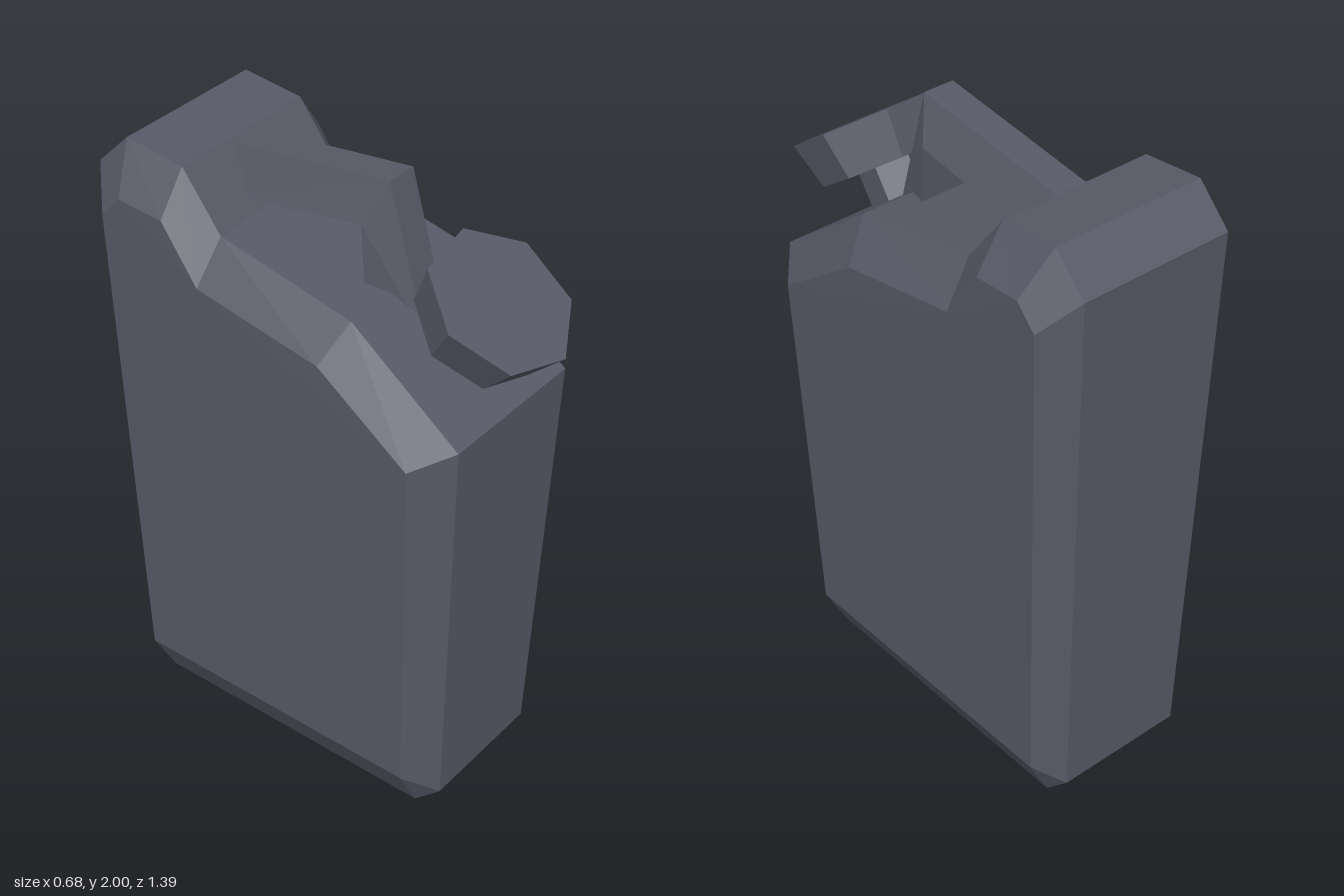
import * as THREE from 'three';

const plastic = new THREE.MeshStandardMaterial({ color: 0x575a67 });
plastic.name = 'dark grey plastic';

// Triangle soup with flat facets
function facets(name, tris) {
  const g = new THREE.BufferGeometry().setFromPoints(tris);
  g.computeVertexNormals();
  const m = new THREE.Mesh(g, plastic);
  m.name = name;
  return m;
}

// Joins closed rings of equal point count, dropping collapsed triangles
function loft(rings) {
  const out = [];
  const tri = (a, b, c) => {
    if (!a.equals(b) && !b.equals(c) && !a.equals(c)) out.push(a, b, c);
  };
  for (let k = 0; k + 1 < rings.length; k++) {
    const a = rings[k], b = rings[k + 1];
    a.forEach((p, i) => {
      const j = (i + 1) % a.length;
      tri(p, b[i], b[j]);
      tri(p, b[j], a[j]);
    });
  }
  return out;
}

function prism(name, rTop, rBottom, height, sides, start) {
  const g = new THREE.CylinderGeometry(rTop, rBottom, height, sides, 1, false, start).toNonIndexed();
  g.computeVertexNormals();
  const m = new THREE.Mesh(g, plastic);
  m.name = name;
  return m;
}

function makeBody() {
  // Side profiles as [z, y]: the rim of the middle strip and the chamfered side panel
  const strip = [[0.42, 0], [0.51, 0.09], [0.56, 1.41], [0.2, 1.68], [-0.25, 1.77],
    [-0.38, 1.94], [-0.58, 1.96], [-0.69, 1.85], [-0.645, 0.09], [-0.56, 0]];
  const panel = [[0.42, 0.15], [0.42, 0.15], [0.455, 1.35], [0.155, 1.565], [-0.265, 1.64],
    [-0.385, 1.81], [-0.54, 1.82], [-0.607, 1.75], [-0.57, 0.15], [-0.57, 0.15]];
  // The can widens upwards to the shoulder
  const grow = y => Math.min(1, Math.max(0, (y - 0.12) / 1.23));
  const ring = (pts, side, base, extra) =>
    pts.map(([z, y]) => new THREE.Vector3(side * (base + extra * grow(y)), y, z));
  const rings = [ring(panel, -1, 0.29, 0.05), ring(strip, -1, 0.213, 0.037),
    ring(strip, 1, 0.213, 0.037), ring(panel, 1, 0.29, 0.05)];
  const tris = loft(rings);

  // Side panels
  const ids = [8, 7, 6, 5, 4, 3, 2, 1];
  const contour = ids.map(i => new THREE.Vector2(-panel[i][0], panel[i][1]));
  for (const [a, b, c] of THREE.ShapeUtils.triangulateShape(contour, [])) {
    tris.push(rings[3][ids[a]], rings[3][ids[b]], rings[3][ids[c]]);
    tris.push(rings[0][ids[a]], rings[0][ids[c]], rings[0][ids[b]]);
  }
  return facets('body', tris);
}

function makeHandle() {
  // Outer and inner edge as [z, y]; narrow outside, wide inside
  const path = [
    [[0.29, 1.57], [0.127, 1.66]],
    [[0.17, 2.0], [0.115, 1.872]],
    [[-0.4, 1.925], [-0.31, 1.8]],
  ];
  const rings = path.map(([[zo, yo], [zi, yi]]) => [
    new THREE.Vector3(0.053, yo, zo), new THREE.Vector3(-0.047, yo, zo),
    new THREE.Vector3(-0.099, yi, zi), new THREE.Vector3(0.106, yi, zi),
  ]);
  return facets('handle', loft(rings));
}

function makeSpout() {
  const spout = new THREE.Group();
  spout.name = 'spout';
  const cap = prism('cap', 0.225, 0.19, 0.14, 7, 0.17);
  cap.position.y = -0.07;
  const neck = prism('neck', 0.088, 0.088, 0.18, 5, -0.35);
  neck.position.set(0, -0.2, -0.01);
  spout.add(cap, neck);
  spout.position.set(-0.01, 1.75, 0.515);
  spout.rotation.x = 0.613;
  return spout;
}

export function createModel() {
  const model = new THREE.Group();
  model.name = 'jerrycan';
  model.add(makeBody(), makeHandle(), makeSpout());
  return model;
}
